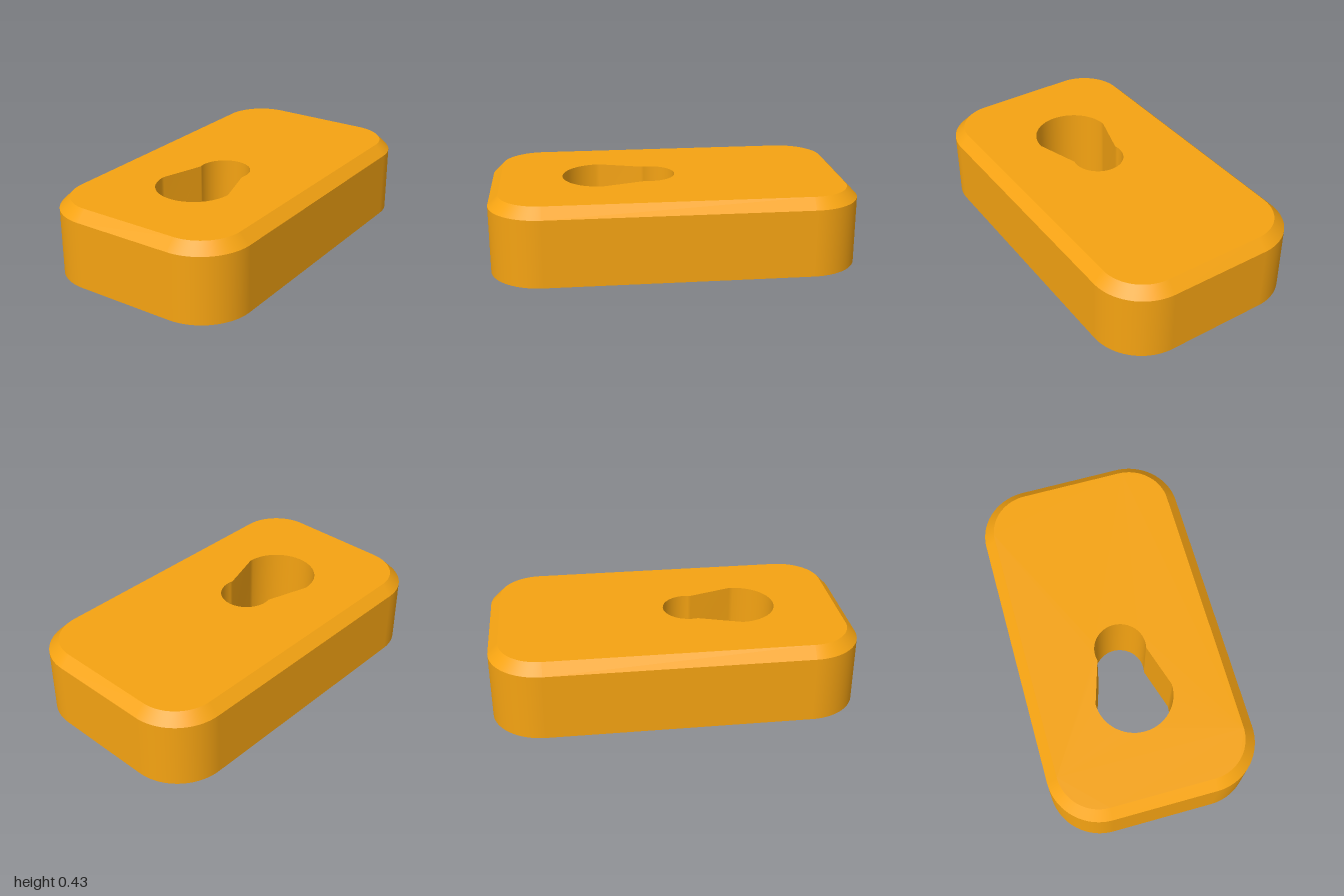
import * as THREE from 'three';

const HALF_W = 0.571, HALF_L = 1, HEIGHT = 0.429, CHAMFER = 0.057, CORNER = 0.286;

// Rounded rectangle in plan (shape y = -z), shrunk evenly by inset
function outline(inset) {
  const r = CORNER - inset, cx = HALF_W - CORNER, cy = HALF_L - CORNER;
  const shape = new THREE.Shape();
  [[1, 1], [-1, 1], [-1, -1], [1, -1]].forEach(([sx, sy], i) =>
    shape.absarc(sx * cx, sy * cy, r, i * Math.PI / 2, (i + 1) * Math.PI / 2, false));
  return shape;
}

// Teardrop slot: wide round end towards the front, narrow round end behind
function slotPath() {
  const a = 0.24;
  const path = new THREE.Path();
  path.absarc(0, -0.386, 0.214, 0, -Math.PI, true);
  path.absarc(0, -0.113, 0.143, Math.PI + a, -a, true);
  path.closePath();
  return path;
}

function loopPoints(path) {
  const pts = path.getPoints(16);
  if (pts[0].distanceTo(pts[pts.length - 1]) < 1e-5) pts.pop();
  return pts;
}

// Closed band of wall between two matching plan loops
function band(lower, y0, upper, y1) {
  const n = lower.length, pos = [], index = [];
  for (let i = 0; i < n; i++) {
    pos.push(lower[i].x, y0, -lower[i].y, upper[i].x, y1, -upper[i].y);
    const a = 2 * i, b = 2 * ((i + 1) % n);
    index.push(a, b, b + 1, a, b + 1, a + 1);
  }
  const geo = new THREE.BufferGeometry();
  geo.setAttribute('position', new THREE.Float32BufferAttribute(pos, 3));
  geo.setIndex(index);
  geo.computeVertexNormals();
  return geo;
}

// Flat face with the slot cut through it
function cap(inset, y, up) {
  const shape = outline(inset);
  shape.holes.push(slotPath());
  const geo = new THREE.ShapeGeometry(shape, 16);
  geo.rotateX(-Math.PI / 2);
  if (!up) {
    // Reverse the winding so the face looks down
    geo.setIndex(Array.from(geo.index.array).reverse());
    geo.computeVertexNormals();
  }
  return geo.translate(0, y, 0);
}

export function createModel() {
  const group = new THREE.Group();
  group.name = 'slottedBlock';
  const material = new THREE.MeshStandardMaterial({ color: 0xf5a312 });
  const add = (name, geometry) => {
    const mesh = new THREE.Mesh(geometry, material);
    mesh.name = name;
    group.add(mesh);
  };

  const outer = loopPoints(outline(0));
  const inner = loopPoints(outline(CHAMFER));
  const slot = loopPoints(slotPath());

  add('sideWall', band(outer, 0, outer, HEIGHT - CHAMFER));
  add('topChamfer', band(outer, HEIGHT - CHAMFER, inner, HEIGHT));
  add('slotWall', band(slot, 0, slot, HEIGHT));
  add('topFace', cap(CHAMFER, HEIGHT, true));
  add('bottomFace', cap(0, 0, false));
  return group;
}
